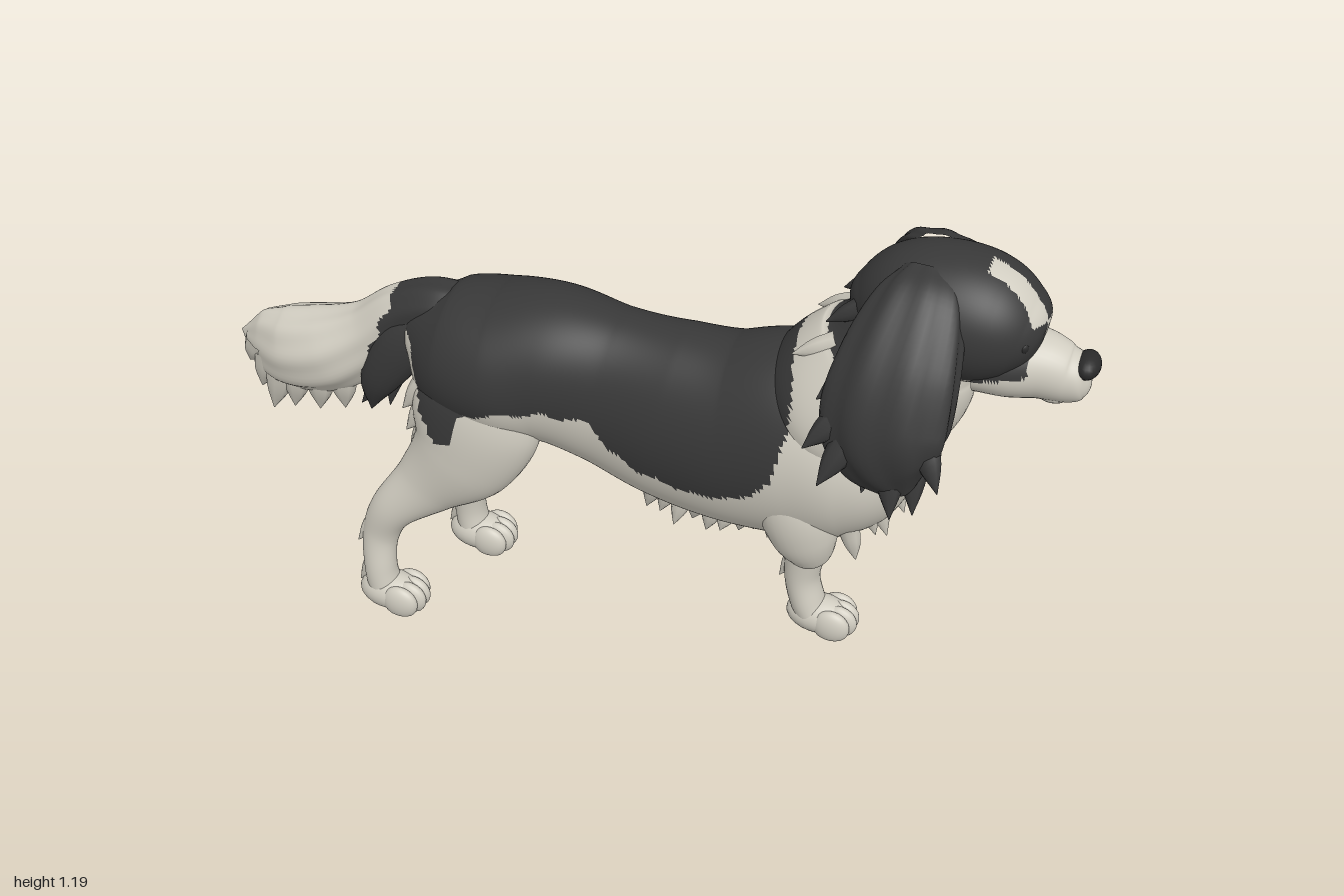
import * as THREE from 'three';

const mat = (name, color) => {
  const m = new THREE.MeshStandardMaterial({ color });
  m.name = name;
  return m;
};

export function createModel() {
  const model = new THREE.Group();
  const cream = mat('creamFur', 0xd0ccc0);
  const black = mat('blackFur', 0x383838);
  const dark = mat('noseAndPupil', 0x2a2a2a);

  // Smooth skin over oval sections [x, y, z, inPlaneRadius, sideRadius];
  // isBlack(x, y, z) sorts the faces into the two fur colours.
  function loft(name, pts, { rows = 40, cols = 28, fur = cream, isBlack = null, ripple = 0, waves = 9 } = {}) {
    const path = new THREE.CatmullRomCurve3(pts.map(p => new THREE.Vector3(p[0], p[1], p[2])), false, 'catmullrom', 0.5);
    const radii = new THREE.CatmullRomCurve3(pts.map(p => new THREE.Vector3(p[3], p[4], 0)), false, 'catmullrom', 0.5);
    const pos = [], faces = [[], []];
    for (let i = 0; i <= rows; i++) {
      const t = i / rows, c = path.getPoint(t), r = radii.getPoint(t), T = path.getTangent(t);
      const S = new THREE.Vector3(0, 0, 1).addScaledVector(T, -T.z).normalize();
      const U = new THREE.Vector3().crossVectors(S, T);
      for (let j = 0; j < cols; j++) {
        const a = j / cols * Math.PI * 2, k = 1 + ripple * Math.cos(waves * a + t * 5);
        const p = c.clone().addScaledVector(U, Math.max(r.x, 0.001) * k * Math.cos(a))
          .addScaledVector(S, Math.max(r.y, 0.001) * k * Math.sin(a));
        pos.push(p.x, p.y, p.z);
      }
    }
    const mid = (f, k) => (pos[f[0] * 3 + k] + pos[f[1] * 3 + k] + pos[f[2] * 3 + k]) / 3;
    for (let i = 0; i < rows; i++) for (let j = 0; j < cols; j++) {
      const a = i * cols + j, b = i * cols + (j + 1) % cols;
      for (const f of [[a, b, b + cols], [a, b + cols, a + cols]])
        faces[isBlack && isBlack(mid(f, 0), mid(f, 1), mid(f, 2)) ? 1 : 0].push(...f);
    }
    const g = new THREE.BufferGeometry();
    g.setAttribute('position', new THREE.Float32BufferAttribute(pos, 3));
    g.setIndex([...faces[0], ...faces[1]]);
    g.computeVertexNormals();
    g.addGroup(0, faces[0].length, 0);
    g.addGroup(faces[0].length, faces[1].length, 1);
    const mesh = new THREE.Mesh(g, isBlack ? [fur, black] : fur);
    mesh.name = name;
    model.add(mesh);
  }

  // Tapering lock of hair from root a to tip b
  function lock(name, a, b, w, fur = cream) {
    const m = a.map((v, k) => v * 0.5 + b[k] * 0.5);
    loft(name, [[...a, w, w * 0.7], [...m, w * 0.75, w * 0.5], [...b, 0.001, 0.001]], { rows: 8, cols: 8, fur });
  }

  function ball(name, p, s, m, turn = 0) {
    const mesh = new THREE.Mesh(new THREE.SphereGeometry(1, 20, 14), m);
    mesh.name = name;
    mesh.position.set(...p);
    mesh.scale.set(...s);
    mesh.rotation.y = turn;
    model.add(mesh);
  }

  // Dark saddle: height of its lower edge along the back
  const edge = [[-0.6, 0.8], [-0.49, 0.74], [-0.45, 0.6], [-0.42, 0.54], [-0.38, 0.54], [-0.35, 0.62], [-0.28, 0.65], [-0.15, 0.67],
    [-0.04, 0.66], [0, 0.6], [0.08, 0.56], [0.2, 0.55], [0.3, 0.57], [0.38, 0.64], [0.41, 0.78], [0.42, 2]];
  const saddle = (x, y) => {
    for (let i = 1; i < edge.length; i++) {
      const [x0, y0] = edge[i - 1], [x1, y1] = edge[i];
      if (x <= x1) return y > y0 + (y1 - y0) * (x - x0) / (x1 - x0) + 0.005 * Math.sin(x * 70);
    }
    return false;
  };
  const back = (x, y) => saddle(x + Math.max(0, y - 0.85) * 0.3, y);

  loft('body', [
    [-0.53, 0.68, 0, 0.01, 0.01], [-0.5, 0.695, 0, 0.11, 0.1], [-0.42, 0.69, 0, 0.165, 0.165], [-0.3, 0.69, 0, 0.182, 0.19],
    [-0.18, 0.7, 0, 0.188, 0.17], [-0.05, 0.672, 0, 0.2, 0.145], [0.1, 0.642, 0, 0.223, 0.16], [0.25, 0.633, 0, 0.232, 0.18],
    [0.4, 0.655, 0, 0.245, 0.193], [0.52, 0.66, 0, 0.218, 0.193], [0.62, 0.655, 0, 0.145, 0.145], [0.69, 0.65, 0, 0.001, 0.001],
  ], { rows: 170, cols: 110, isBlack: back });

  loft('neck', [
    [0.38, 0.67, 0, 0.12, 0.12], [0.47, 0.76, 0, 0.182, 0.186], [0.575, 0.865, 0, 0.182, 0.17],
    [0.625, 0.96, 0, 0.145, 0.148], [0.66, 1.03, 0, 0.1, 0.1],
  ], { rows: 70, cols: 64, isBlack: (x, y) => back(x, y) || (0.6 * x + 0.8 * y > 1.05 && 0.6 * y - 0.8 * x > 0.06) });

  // Dark skull with a pale blaze running down between the eyes
  loft('skull', [
    [0.5, 1.0, 0, 0.02, 0.02], [0.53, 1.02, 0, 0.08, 0.08], [0.6, 1.04, 0, 0.128, 0.125], [0.69, 1.045, 0, 0.14, 0.14],
    [0.77, 1.035, 0, 0.132, 0.134], [0.83, 1.02, 0, 0.1, 0.108], [0.865, 1.005, 0, 0.056, 0.064], [0.878, 1.0, 0, 0.001, 0.001],
  ], {
    rows: 110, cols: 90,
    isBlack: (x, y, z) => y > 1.025 - 0.8 * Math.abs(z) && !(x > 0.76 && (y < 1.075
      ? Math.abs(z) < 0.028 : Math.abs(z - 0.04 + (y - 1.1) * 0.3) < 0.024)),
  });
  loft('muzzle', [
    [0.76, 0.955, 0, 0.07, 0.1], [0.82, 0.957, 0, 0.078, 0.09], [0.88, 0.956, 0, 0.073, 0.073], [0.935, 0.945, 0, 0.061, 0.058],
    [0.97, 0.948, 0, 0.046, 0.044], [0.985, 0.952, 0, 0.001, 0.001],
  ], { rows: 50, cols: 40, isBlack: (x, y, z) => x < 0.865 && y > 1.025 - 0.8 * Math.abs(z) && Math.abs(z) > 0.028 });
  ball('nose', [0.973, 0.975, 0], [0.027, 0.026, 0.043], dark);
  ball('chin', [0.915, 0.902, 0], [0.04, 0.024, 0.04], cream);

  for (const s of [1, -1]) {
    ball('eye', [0.845, 1.038, s * 0.08], [0.013, 0.016, 0.024], cream, -s * 0.75);
    ball('pupil', [0.853, 1.04, s * 0.084], [0.009, 0.012, 0.011], dark, -s * 0.75);
    // Long feathered ear
    loft('ear', [
      [0.65, 1.155, s * 0.05, 0.05, 0.02], [0.645, 1.11, s * 0.11, 0.09, 0.04], [0.63, 1.0, s * 0.185, 0.122, 0.055],
      [0.62, 0.89, s * 0.225, 0.13, 0.062], [0.635, 0.81, s * 0.235, 0.105, 0.052], [0.665, 0.74, s * 0.235, 0.03, 0.02],
    ], { rows: 36, cols: 48, fur: black, ripple: 0.045, waves: 8 });
    for (const [x, y, dx, dy, z] of [[0.54, 0.9, -0.07, -0.07, 0.25], [0.56, 0.86, -0.05, -0.1, 0.27], [0.6, 0.83, -0.01, -0.11, 0.21],
      [0.64, 0.81, 0.02, -0.11, 0.25], [0.68, 0.82, 0.02, -0.12, 0.22], [0.7, 0.88, 0.05, -0.09, 0.25], [0.55, 0.98, -0.07, -0.06, 0.2]])
      lock('earFeather', [x, y, s * (z - 0.02)], [x + dx, y + dy, s * (z + 0.03)], 0.034, black);
    // Scruff, chest and belly feathering
    lock('scruffTuft', [0.52, 1.04, s * 0.05], [0.45, 1.0, s * 0.07], 0.025, black);
    lock('scruffTuft', [0.48, 0.96, s * 0.08], [0.39, 0.925, s * 0.1], 0.03);
    for (let i = 0; i < 5; i++)
      lock('chestFeather', [0.655 - i * 0.028, 0.78 - i * 0.065, s * (0.04 + i * 0.019)],
        [0.7 - i * 0.034, 0.69 - i * 0.065, s * (0.03 + i * 0.02)], 0.026);
    for (let i = 0; i < 9; i++)
      lock('bellyFeather', [0.08 + i * 0.035, 0.46 + 0.015 * Math.cos(i * 0.7), s * 0.06],
        [0.055 + i * 0.037, 0.392 - 0.024 * Math.sin(i * 0.4 + 0.2) + 0.014 * (i % 2), s * (0.045 + 0.012 * (i % 3))], 0.026);
  }
  for (let i = 0; i < 4; i++)
    lock('breastFeather', [0.66 - i * 0.03, 0.75 - i * 0.075, 0], [0.705 - i * 0.033, 0.65 - i * 0.075, 0], 0.028);

  // Tail: dark root, pale plume
  loft('tail', [
    [-0.38, 0.79, 0, 0.05, 0.06], [-0.46, 0.785, 0, 0.068, 0.07], [-0.55, 0.745, 0, 0.075, 0.068], [-0.64, 0.67, 0, 0.085, 0.075],
    [-0.75, 0.61, 0, 0.105, 0.095], [-0.86, 0.585, 0, 0.105, 0.085], [-0.94, 0.59, 0, 0.08, 0.045], [-1.0, 0.6, 0, 0.001, 0.001],
  ], { rows: 90, cols: 60, ripple: 0.025, isBlack: (x, y) => x > -0.56 - (0.82 - y) * 0.36 + 0.008 * Math.sin(y * 90) });
  for (const [x, y, tx, ty] of [[-0.72, 0.57, -0.74, 0.45], [-0.78, 0.55, -0.81, 0.43], [-0.84, 0.55, -0.88, 0.42],
    [-0.88, 0.55, -0.94, 0.4], [-0.91, 0.57, -0.965, 0.46], [-0.93, 0.6, -0.99, 0.53]])
    for (const z of [-0.03, 0.03]) lock('tailFeather', [x, y, z], [tx + z * 0.5, ty, z * 0.7], 0.042);
  for (const z of [-0.05, 0, 0.05])
    loft('darkTailFeather', [
      [-0.46, 0.77, z * 0.8, 0.04, 0.025], [-0.54, 0.69, z * 1.1, 0.06, 0.033],
      [-0.61, 0.58, z * 1.1, 0.045, 0.028], [-0.69 + Math.abs(z), 0.46 + z * 0.5, z * 0.9, 0.001, 0.001],
    ], { rows: 16, cols: 14, fur: black });

  // Paw with four shallow toes and a flat sole
  function paw(name, x, z) {
    const group = new THREE.Group();
    group.name = name;
    group.position.set(x, 0, z);
    const g = new THREE.SphereGeometry(1, 24, 16);
    const p = g.attributes.position;
    for (let i = 0; i < p.count; i++) p.setY(i, Math.max(p.getY(i), -0.8));
    g.computeVertexNormals();
    const add = (part, px, py, pz, sx, sy, sz) => {
      const m = new THREE.Mesh(g, cream);
      m.name = part;
      m.position.set(px, py, pz);
      m.scale.set(sx, sy, sz);
      group.add(m);
    };
    add('pad', -0.008, 0.038, 0, 0.082, 0.048, 0.052);
    for (let i = 0; i < 4; i++)
      add('toe', Math.abs(i - 1.5) < 1 ? 0.042 : 0.03, 0.035, (i - 1.5) * 0.024, 0.046, 0.044, 0.022);
    model.add(group);
  }

  // Hind legs, one stepping further back than the other
  for (const [s, dx, fz] of [[1, 0, 0.16], [-1, 0.11, -0.125]]) {
    loft('hindLeg', [
      [-0.31, 0.72, s * 0.085, 0.1, 0.06], [-0.33, 0.6, s * 0.108, 0.155, 0.075], [-0.37 + dx * 0.1, 0.48, s * 0.117, 0.13, 0.07],
      [-0.46 + dx * 0.4, 0.375, s * 0.122, 0.085, 0.055], [-0.55 + dx * 0.8, 0.285, fz * 0.9, 0.055, 0.042],
      [-0.588 + dx, 0.2, fz * 0.92, 0.045, 0.036], [-0.59 + dx, 0.11, fz, 0.04, 0.039], [-0.58 + dx, 0.04, fz, 0.042, 0.044],
    ], { rows: 60, cols: 40, isBlack: saddle });
    paw('hindPaw', -0.557 + dx, fz);
    for (let i = 0; i < 3; i++)
      lock('thighFeather', [-0.445, 0.66 - i * 0.06, s * 0.11], [-0.515 + i * 0.005, 0.57 - i * 0.06, s * 0.12], 0.034);
    lock('hockFeather', [-0.59 + dx, 0.25, fz * 0.92], [-0.645 + dx, 0.17, fz], 0.026);
    lock('hockFeather', [-0.6 + dx, 0.13, fz], [-0.65 + dx, 0.045, fz], 0.024);
  }

  // Standing foreleg
  loft('standingForeleg', [
    [0.43, 0.62, -0.11, 0.1, 0.065], [0.42, 0.48, -0.12, 0.08, 0.062], [0.405, 0.36, -0.118, 0.058, 0.048],
    [0.397, 0.24, -0.12, 0.05, 0.044], [0.39, 0.15, -0.123, 0.043, 0.043], [0.405, 0.08, -0.124, 0.042, 0.048], [0.425, 0.035, -0.124, 0.04, 0.048],
  ], { rows: 44 });
  paw('forePaw', 0.447, -0.124);
  lock('forelegFeather', [0.38, 0.22, -0.12], [0.335, 0.13, -0.12], 0.026);
  lock('elbowFeather', [0.39, 0.47, -0.13], [0.35, 0.37, -0.12], 0.035);

  // Raised foreleg, folded up against the chest
  loft('raisedForeleg', [
    [0.42, 0.64, 0.105, 0.08, 0.05], [0.43, 0.55, 0.12, 0.09, 0.062], [0.445, 0.48, 0.118, 0.08, 0.06],
    [0.46, 0.43, 0.108, 0.058, 0.05], [0.468, 0.405, 0.1, 0.036, 0.034], [0.47, 0.393, 0.098, 0.001, 0.001],
  ], { rows: 36 });

  return model;
}
